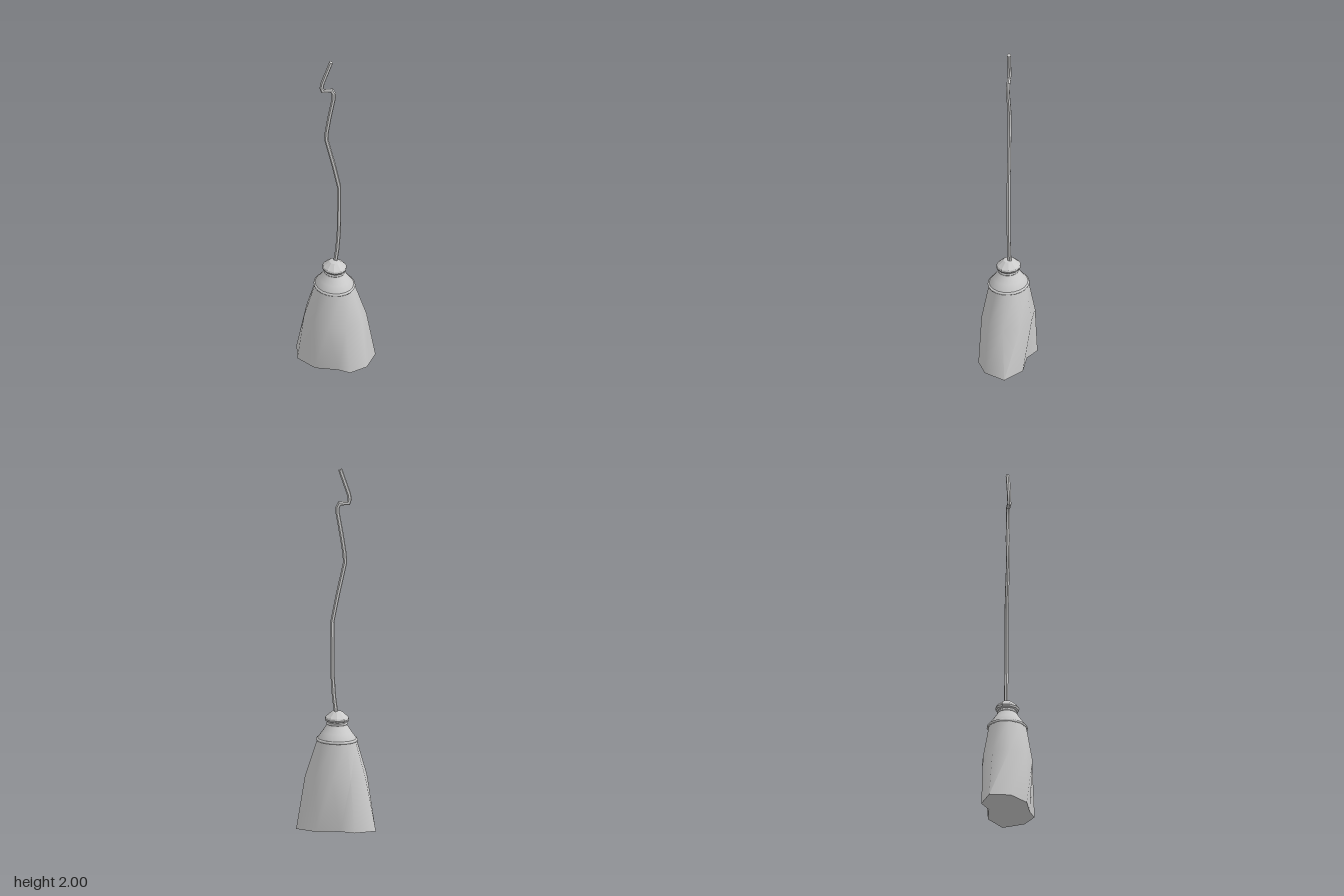
import * as THREE from 'three';
import { toCreasedNormals } from 'three/addons/utils/BufferGeometryUtils.js';

const grey = new THREE.MeshStandardMaterial({ color: 0xcccccc });
const CX = 0.0135, CZ = 0.005; // axis of the head
const DEPTH = 0.92;            // the head is slightly oval

// Skin a list of equal-length rings (bottom to top) and close both ends
function loft(rings, crease) {
  const n = rings[0].length, pos = [], index = [];
  const add = (p) => pos.push(p.x, p.y, p.z);
  rings.forEach((r) => r.forEach(add));
  for (let i = 0; i < rings.length - 1; i++) {
    for (let j = 0; j < n; j++) {
      const a = i * n + j, b = i * n + (j + 1) % n;
      index.push(a, a + n, b, b, a + n, b + n);
    }
  }
  [rings[0], rings[rings.length - 1]].forEach((ring, top) => {
    const base = pos.length / 3;
    const centre = new THREE.Vector3();
    ring.forEach((p) => { add(p); centre.addScaledVector(p, 1 / n); });
    add(centre);
    for (let j = 0; j < n; j++) {
      const a = base + j, b = base + (j + 1) % n;
      index.push(base + n, top ? b : a, top ? a : b);
    }
  });
  const g = new THREE.BufferGeometry();
  g.setAttribute('position', new THREE.Float32BufferAttribute(pos, 3));
  g.setIndex(index);
  return toCreasedNormals(g, crease);
}

// Sweep a hexagon along a bent path with mitred joints
function sweepStick(points, radius) {
  const path = points.map((p) => new THREE.Vector3(...p));
  const side = new THREE.Vector3(0.76, 0, 0.65);
  const rings = path.map((p, i) => {
    const before = p.clone().sub(path[Math.max(i - 1, 0)]).normalize();
    const after = path[Math.min(i + 1, path.length - 1)].clone().sub(p).normalize();
    const t = before.clone().add(after).normalize();
    const miter = 1 / Math.max(t.dot(before.lengthSq() ? before : after), 0.75);
    const normal = t.clone().cross(side).normalize();
    const binormal = normal.clone().cross(t);
    return Array.from({ length: 6 }, (_, k) => {
      const a = k * Math.PI / 3;
      return p.clone()
        .addScaledVector(normal, Math.cos(a) * radius * miter)
        .addScaledVector(binormal, Math.sin(a) * radius);
    });
  });
  return loft(rings, 0.7);
}

export function createModel() {
  const group = new THREE.Group();
  const add = (name, geometry) => {
    const mesh = new THREE.Mesh(geometry, grey);
    mesh.name = name;
    group.add(mesh);
    return mesh;
  };

  // Bristle head: uneven hem, fuller middle, oval top
  const hem = [[0.17, -0.156], [0.21, -0.035], [0.175, 0.065], [0.11, 0.085], [0, 0.153],
    [-0.13, 0.147], [-0.21, 0.06], [-0.145, -0.048], [-0.06, -0.065], [0.035, -0.148]];
  const middle = [[0.145, -0.11], [0.183, -0.03], [0.15, 0.07], [0.077, 0.13], [-0.01, 0.155],
    [-0.105, 0.12], [-0.156, 0.04], [-0.125, -0.053], [-0.05, -0.12], [0.05, -0.143]];
  const oval = middle.map(([x, z]) => {
    const a = Math.atan2((z - CZ) / DEPTH, x - CX);
    return [CX + 0.113 * Math.cos(a), CZ + 0.113 * DEPTH * Math.sin(a)];
  });
  const level = (ring, y) => ring.map(([x, z]) => new THREE.Vector3(x, y, z));
  add('bristles', loft([level(hem, 0), level(middle, 0.29), level(oval, 0.49)], 1.2));

  // Turned parts on the oval axis
  const turned = (name, profile, segments, crease) => {
    const g = new THREE.LatheGeometry(profile.map((p) => new THREE.Vector2(...p)), segments);
    g.scale(1, 1, DEPTH);
    g.translate(CX, 0, CZ);
    add(name, toCreasedNormals(g, crease));
  };
  turned('shoulder', [[0.113, 0.485], [0.108, 0.505], [0.085, 0.535], [0.062, 0.568], [0.054, 0.58], [0.054, 0.6]], 20, 0.9);
  turned('cap', [[0.05, 0.592], [0.066, 0.598], [0.07, 0.608], [0.066, 0.618], [0.03, 0.648], [0, 0.655]], 10, 0.3);

  // Binding cords
  const cord = (name, y, radius, thickness) => {
    const g = new THREE.TorusGeometry(radius, thickness, 8, 20);
    g.rotateX(Math.PI / 2);
    g.scale(1, 1, DEPTH);
    g.translate(CX, y, CZ);
    add(name, g);
  };
  cord('lowerBinding', 0.494, 0.11, 0.008);
  cord('upperBinding', 0.583, 0.054, 0.006);

  // Crooked stick with a sharp jog near its tip
  add('stick', sweepStick([
    [0.012, 0.63, -0.002], [0.022, 0.73, -0.01], [0.029, 0.85, -0.014], [0.03, 1.15, -0.015],
    [0.009, 1.3, 0.006], [-0.018, 1.48, 0.037], [-0.016, 1.53, 0.034], [-0.007, 1.62, 0.024],
    [0.014, 1.76, 0.011], [0.013, 1.79, 0.011], [0.005, 1.81, 0.018], [-0.028, 1.81, 0.053],
    [-0.034, 1.83, 0.057], [-0.031, 1.86, 0.054], [0.001, 2, 0.018],
  ], 0.0115));

  return group;
}
